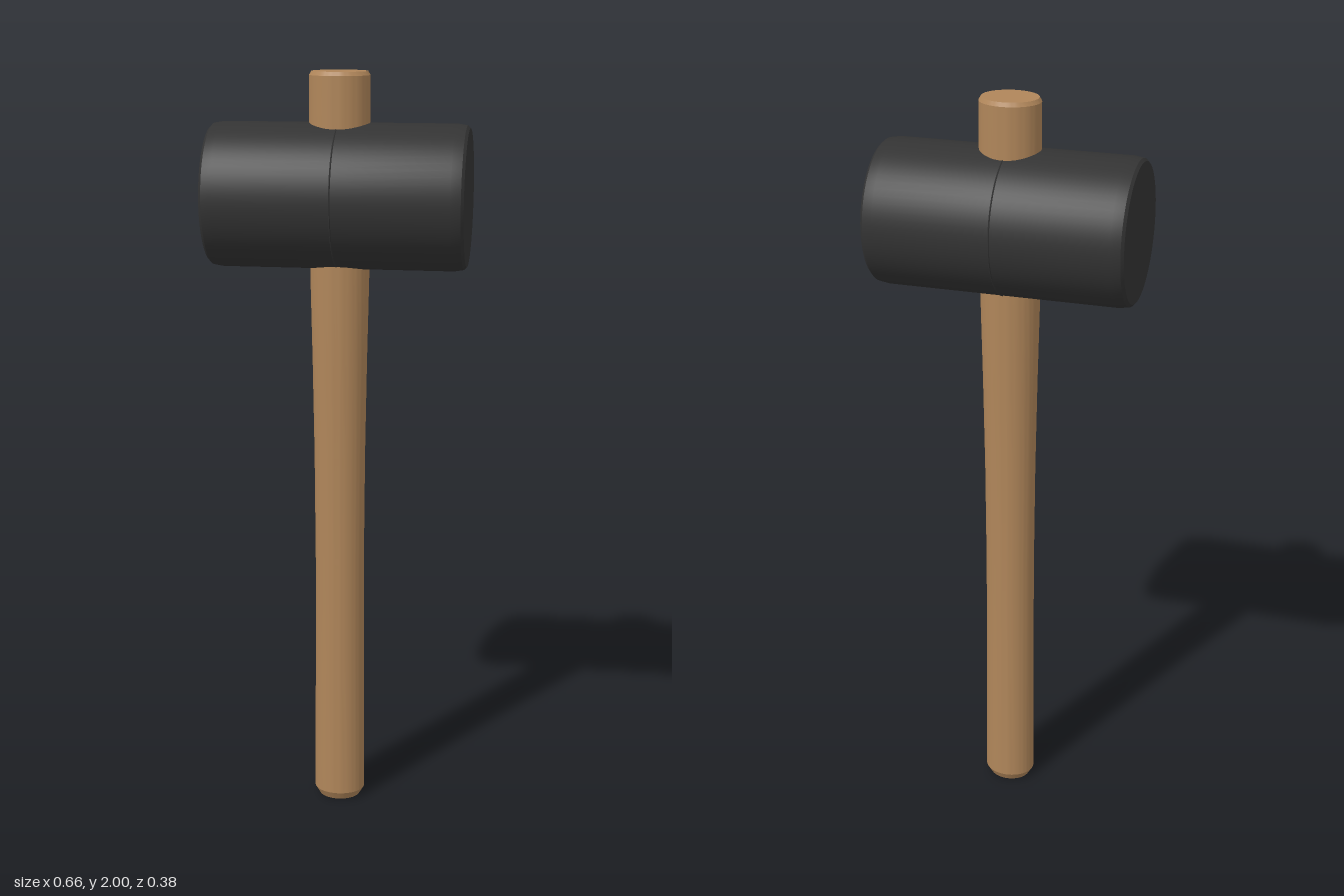
import * as THREE from 'three';
import { toCreasedNormals } from 'three/addons/utils/BufferGeometryUtils.js';

const wood = new THREE.MeshStandardMaterial({ name: 'wood', color: 0xb0865a });
const rubber = new THREE.MeshStandardMaterial({ name: 'black rubber', color: 0x333333 });

// Turned part from [radius, height] pairs, bottom to top, optionally flattened in z
function turned(name, profile, material, flatten = 1) {
  const points = profile.map(([r, y]) => new THREE.Vector2(r, y));
  const geometry = new THREE.LatheGeometry(points, 64);
  geometry.scale(1, 1, flatten);
  const mesh = new THREE.Mesh(toCreasedNormals(geometry, Math.PI / 7), material);
  mesh.name = name;
  return mesh;
}

export function createModel() {
  const model = new THREE.Group();
  model.name = 'mallet';

  // Oval handle: chamfered ends, slim grip, widening towards the head
  model.add(turned('handle', [
    [0, 0], [0.056, 0], [0.069, 0.022], [0.069, 0.1], [0.067, 0.4],
    [0.066, 0.7], [0.068, 1.0], [0.072, 1.25], [0.077, 1.48],
    [0.078, 1.6], [0.078, 1.99], [0.072, 2], [0, 2],
  ], wood, 0.865));

  // Cylindrical head with softened rims and a fine moulding seam in the middle
  const half = [[0, 0.332], [0.175, 0.332], [0.182, 0.325], [0.186, 0.3], [0.186, 0.002]];
  const head = turned('head', [
    ...half.map(([r, y]) => [r, -y]),
    [0.188, 0],
    ...half.slice().reverse(),
  ], rubber);
  head.rotation.z = Math.PI / 2;
  head.position.y = 1.686;
  model.add(head);

  return model;
}
